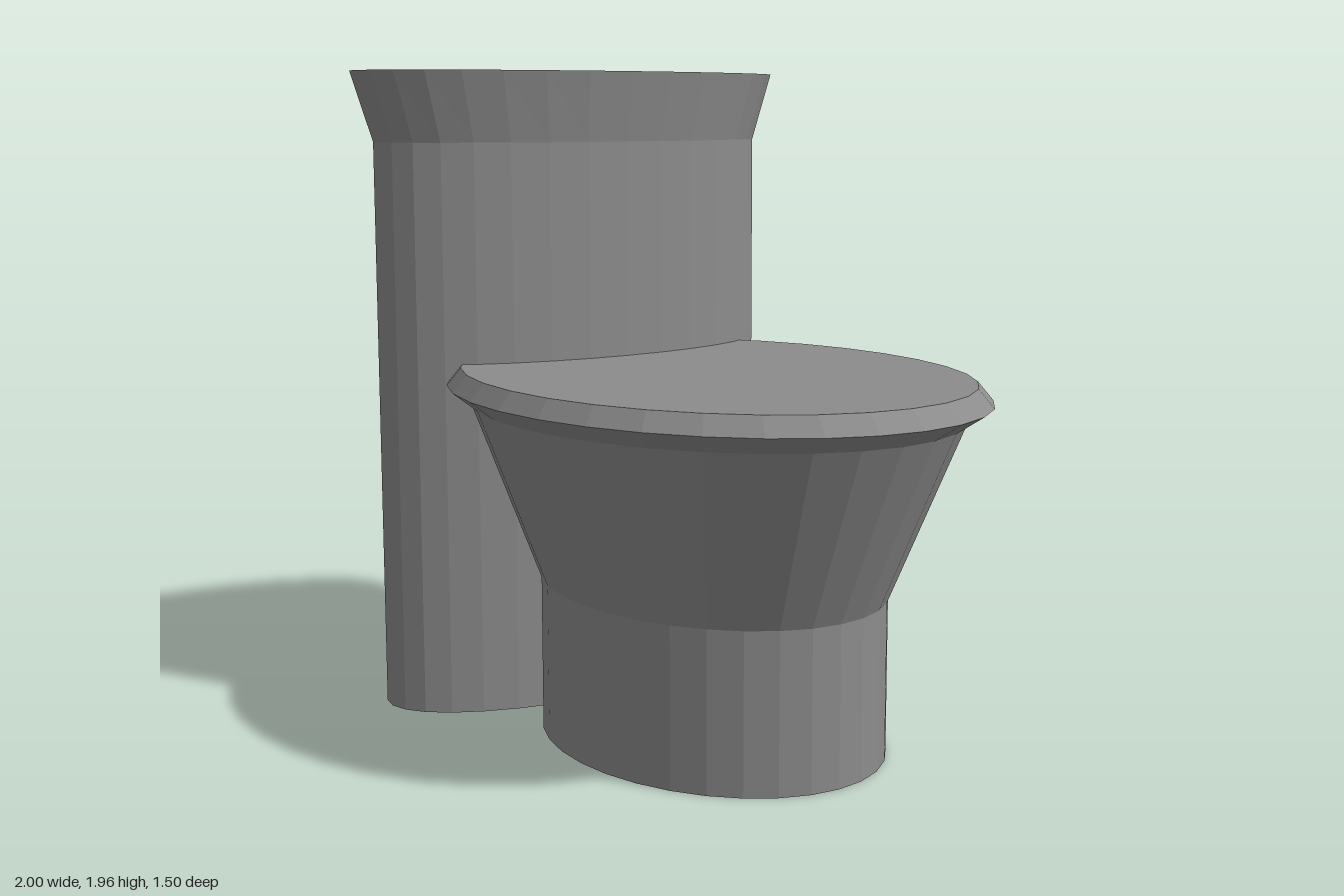
import * as THREE from 'three';

const SEGMENTS = 32;

// Stack of elliptical rings [y, radiusX, radiusZ] centred on x = cx, with closed ends
function ellipticStack(name, cx, rings, material) {
  const pos = [];
  const point = ([y, rx, rz], i) => {
    const a = (i / SEGMENTS) * Math.PI * 2;
    return [cx + rx * Math.cos(a), y, rz * Math.sin(a)];
  };
  const first = rings[0], last = rings[rings.length - 1];
  for (let i = 0; i < SEGMENTS; i++) {
    for (let r = 0; r < rings.length - 1; r++) {
      const a = point(rings[r], i), b = point(rings[r], i + 1);
      const c = point(rings[r + 1], i + 1), d = point(rings[r + 1], i);
      pos.push(...a, ...d, ...c, ...a, ...c, ...b);
    }
    pos.push(cx, first[0], 0, ...point(first, i), ...point(first, i + 1));
    pos.push(cx, last[0], 0, ...point(last, i + 1), ...point(last, i));
  }
  const geometry = new THREE.BufferGeometry();
  geometry.setAttribute('position', new THREE.Float32BufferAttribute(pos, 3));
  geometry.computeVertexNormals();
  const mesh = new THREE.Mesh(geometry, material);
  mesh.name = name;
  return mesh;
}

export function createModel() {
  const group = new THREE.Group();
  group.name = 'toilet';
  const grey = new THREE.MeshStandardMaterial({ color: 0x8c8c8c, flatShading: true });
  grey.name = 'grey ceramic';

  // Tall cistern with a flared top
  group.add(ellipticStack('cistern', -0.657, [
    [0.02, 0.308, 0.68],
    [1.75, 0.308, 0.68],
    [1.96, 0.343, 0.75],
  ], grey));

  // Pedestal, flaring bowl and bevelled lid
  group.add(ellipticStack('bowl', 0.08, [
    [0, 0.595, 0.46],
    [0.468, 0.595, 0.46],
    [0.99, 0.83, 0.647],
    [1.043, 0.915, 0.713],
    [1.095, 0.865, 0.674],
  ], grey));

  return group;
}
